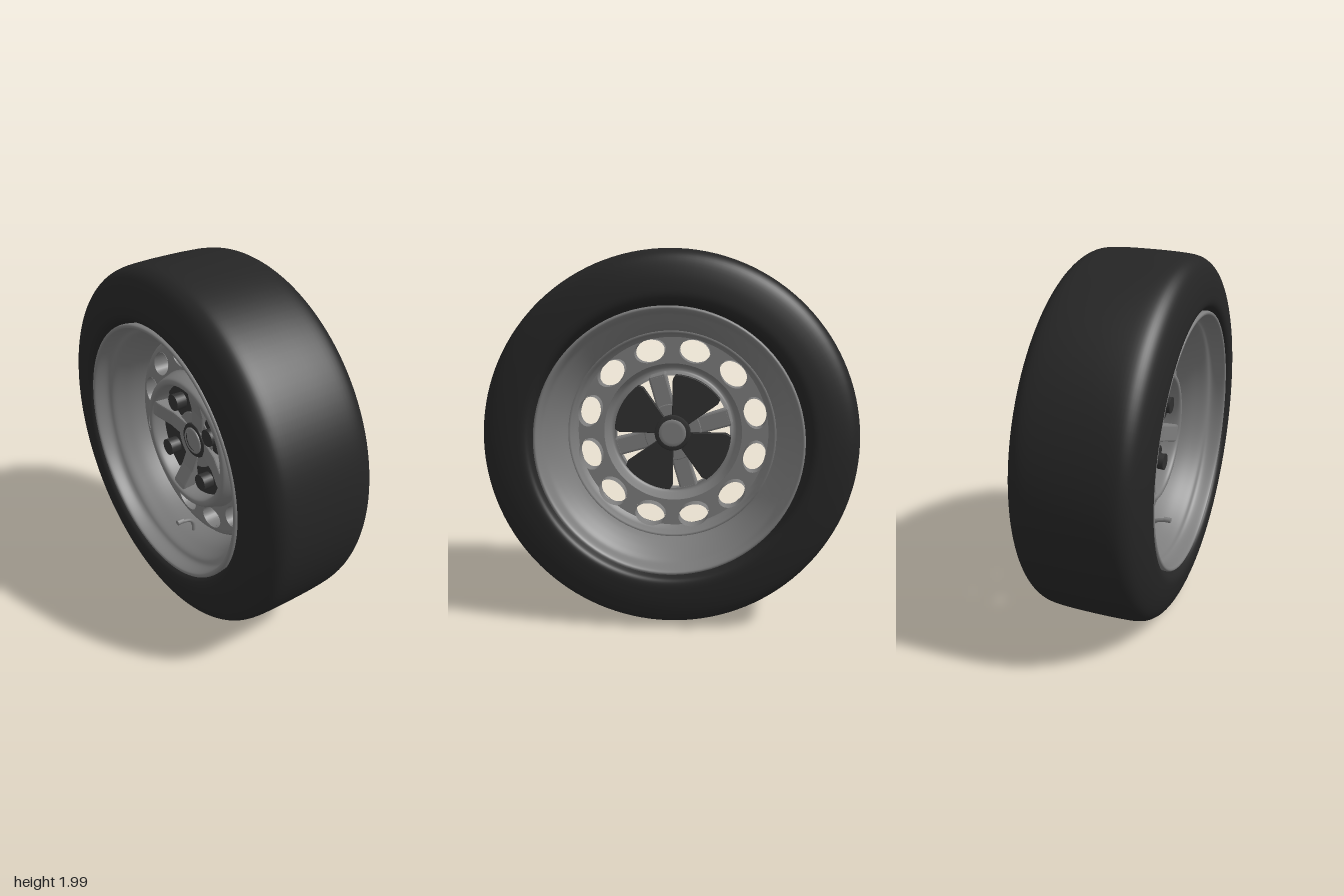
import * as THREE from 'three';

const make = (color) => new THREE.MeshStandardMaterial({ color, side: THREE.DoubleSide });
const RUBBER = make(0x252525), STEEL = make(0x7c7c7c), DARK = make(0x303030);
const V = (p) => p.map(([z, r]) => new THREE.Vector2(r, z));

export function createModel() {
  const model = new THREE.Group();
  model.name = 'wheel';
  const wheel = new THREE.Group(); // built around z, turned so z becomes x
  wheel.rotation.y = Math.PI / 2;

  const add = (name, geometry, material) => {
    const mesh = new THREE.Mesh(geometry, material);
    mesh.name = name;
    wheel.add(mesh);
    return mesh;
  };
  // Profile of [axial position, radius] pairs spun round the axle
  const spin = (name, profile, material, smooth = 0, segments = 96) => {
    let pts = V(profile);
    if (smooth) pts = new THREE.SplineCurve(pts).getPoints(smooth);
    return add(name, new THREE.LatheGeometry(pts, segments).rotateX(Math.PI / 2), material);
  };
  const plate = (name, shape, z0, z1, material, bevel = 0) => {
    const g = new THREE.ExtrudeGeometry(shape, {
      depth: z1 - z0 - 2 * bevel, curveSegments: 48, bevelEnabled: bevel > 0,
      bevelSize: bevel, bevelThickness: bevel, bevelOffset: -bevel, bevelSegments: 2,
    });
    g.translate(0, 0, z0 + bevel);
    return add(name, g, material);
  };
  const circle = (Cls, r) => new Cls().absarc(0, 0, r, 0, Math.PI * 2);
  const rad = THREE.MathUtils.degToRad;
  // Clock angle in degrees, measured clockwise from the top
  const polar = (r, deg) => [r * Math.sin(rad(deg)), r * Math.cos(rad(deg))];

  // Tyre section, with a fuller shoulder on the inner (+z) side
  spin('tyre', [
    [-0.26, 0.7], [-0.3, 0.712], [-0.322, 0.725], [-0.334, 0.75], [-0.333, 0.79], [-0.32, 0.86],
    [-0.293, 0.93], [-0.258, 0.968], [-0.21, 0.985], [-0.12, 0.991], [0, 0.993], [0.13, 0.992],
    [0.23, 0.986], [0.28, 0.968], [0.312, 0.93], [0.333, 0.86], [0.343, 0.79], [0.343, 0.75],
    [0.33, 0.725], [0.3, 0.712], [0.26, 0.7],
  ], RUBBER, 80, 128);

  // Rim barrel with lips on both sides and a drop centre
  spin('rimBarrel', [
    [-0.26, 0.698], [-0.3, 0.704], [-0.317, 0.7], [-0.32, 0.69], [-0.31, 0.68],
    [-0.26, 0.672], [-0.235, 0.662], [-0.215, 0.64], [-0.17, 0.618], [-0.1, 0.59],
    [0, 0.568], [0.08, 0.572], [0.15, 0.6], [0.21, 0.635], [0.25, 0.662],
    [0.29, 0.672], [0.31, 0.68], [0.32, 0.69], [0.317, 0.7], [0.3, 0.704], [0.26, 0.698],
  ], STEEL, 80);

  // Flange that joins the disc to the barrel
  spin('discFlange', [[-0.058, 0.53], [-0.055, 0.55], [-0.04, 0.565], [0, 0.572],
    [0.06, 0.572], [0.06, 0.556], [0, 0.553], [-0.025, 0.545], [-0.038, 0.53]], STEEL);

  // Disc with twelve oval vents, each with a short collar towards the inside
  const disc = circle(THREE.Shape, 0.545);
  disc.holes.push(circle(THREE.Path, 0.385));
  for (let i = 0; i < 12; i++) {
    const deg = 15 + 30 * i, [x, y] = polar(0.47, deg), turn = -rad(deg);
    disc.holes.push(new THREE.Path().absellipse(x, y, 0.085, 0.062, 0, Math.PI * 2, false, turn));
    const collar = new THREE.CylinderGeometry(0.062, 0.062, 0.09, 32, 1, true)
      .rotateX(Math.PI / 2).scale(1.36, 1, 1);
    const mesh = add('ventCollar', collar, STEEL);
    mesh.position.set(x, y, -0.012);
    mesh.rotation.z = turn;
  }
  plate('disc', disc, -0.056, -0.04, STEEL);

  // Pressed ridge around the recessed centre
  spin('discRidge', [[-0.05, 0.405], [-0.06, 0.39], [-0.11, 0.375], [-0.138, 0.362], [-0.145, 0.345],
    [-0.138, 0.33], [-0.11, 0.322], [-0.045, 0.318]], STEEL, 40);
  plate('centrePlate', circle(THREE.Shape, 0.16), -0.068, -0.046, STEEL, 0.005);

  // One arm of the dark mounting flange, 57 degrees wide
  const arm = new THREE.Shape().moveTo(...polar(0.1, -2));
  arm.lineTo(...polar(0.3, 0));
  for (let i = 0; i <= 8; i++) arm.lineTo(...polar(0.325, 3 + i * 51 / 8));
  arm.lineTo(...polar(0.3, 57));
  arm.lineTo(...polar(0.1, 62));

  // Side profile of a rib rising from the hub to the ridge
  const rib = new THREE.Shape([[0.09, -0.05], [0.325, -0.05], [0.335, -0.135], [0.3, -0.128],
    [0.2, -0.092], [0.09, -0.075]].map(([r, z]) => new THREE.Vector2(r, z)));
  const ribGeometry = new THREE.ExtrudeGeometry(rib, {
    depth: 0.08, bevelSize: 0.008, bevelThickness: 0.01, bevelOffset: -0.008, bevelSegments: 2,
  }).translate(0, 0, -0.04).rotateX(Math.PI / 2);

  for (let i = 0; i < 4; i++) {
    plate('flangeArm', arm, -0.062, -0.03, DARK, 0.004).rotation.z = -rad(90 * i);
    add('rib', ribGeometry, STEEL).rotation.z = rad(90 - 74 - 90 * i);
    const nut = add('wheelNut', new THREE.CylinderGeometry(0.044, 0.047, 0.09, 24).rotateX(Math.PI / 2), DARK);
    nut.position.set(...polar(0.23, 90 * i + 31), -0.08);
  }

  // Hub: dark collar, bright ring and cap
  spin('hubCollar', [[-0.082, 0.06], [-0.082, 0.093], [-0.074, 0.1], [-0.024, 0.1],
    [-0.016, 0.093], [-0.016, 0.06]], DARK, 0, 48);
  spin('hubRing', [[-0.09, 0.055], [-0.09, 0.07], [-0.084, 0.076], [-0.014, 0.076],
    [-0.008, 0.07], [-0.008, 0.055]], STEEL, 0, 48);
  const cap = add('hubCap', new THREE.CylinderGeometry(0.057, 0.057, 0.07, 40).rotateX(Math.PI / 2), STEEL);
  cap.position.z = -0.049;

  // Bent valve stem on the outer side of the barrel
  const stem = new THREE.CatmullRomCurve3([[-0.1, 0.595], [-0.105, 0.54], [-0.125, 0.515], [-0.18, 0.5]]
    .map(([z, r]) => new THREE.Vector3(...polar(r, 180), z)));
  add('valveStem', new THREE.TubeGeometry(stem, 20, 0.011, 10), STEEL);
  const valveCap = add('valveCap', new THREE.CylinderGeometry(0.015, 0.015, 0.04, 12).rotateX(Math.PI / 2), STEEL);
  valveCap.position.set(...polar(0.498, 180), -0.19);

  // Slight lean of the axle
  const lean = new THREE.Group();
  lean.name = 'leaningWheel';
  lean.add(wheel);
  lean.quaternion.setFromUnitVectors(new THREE.Vector3(1, 0, 0), new THREE.Vector3(1, 0.033, 0.026).normalize());
  lean.position.set(0.01, 1, 0);
  model.add(lean);
  return model;
}
